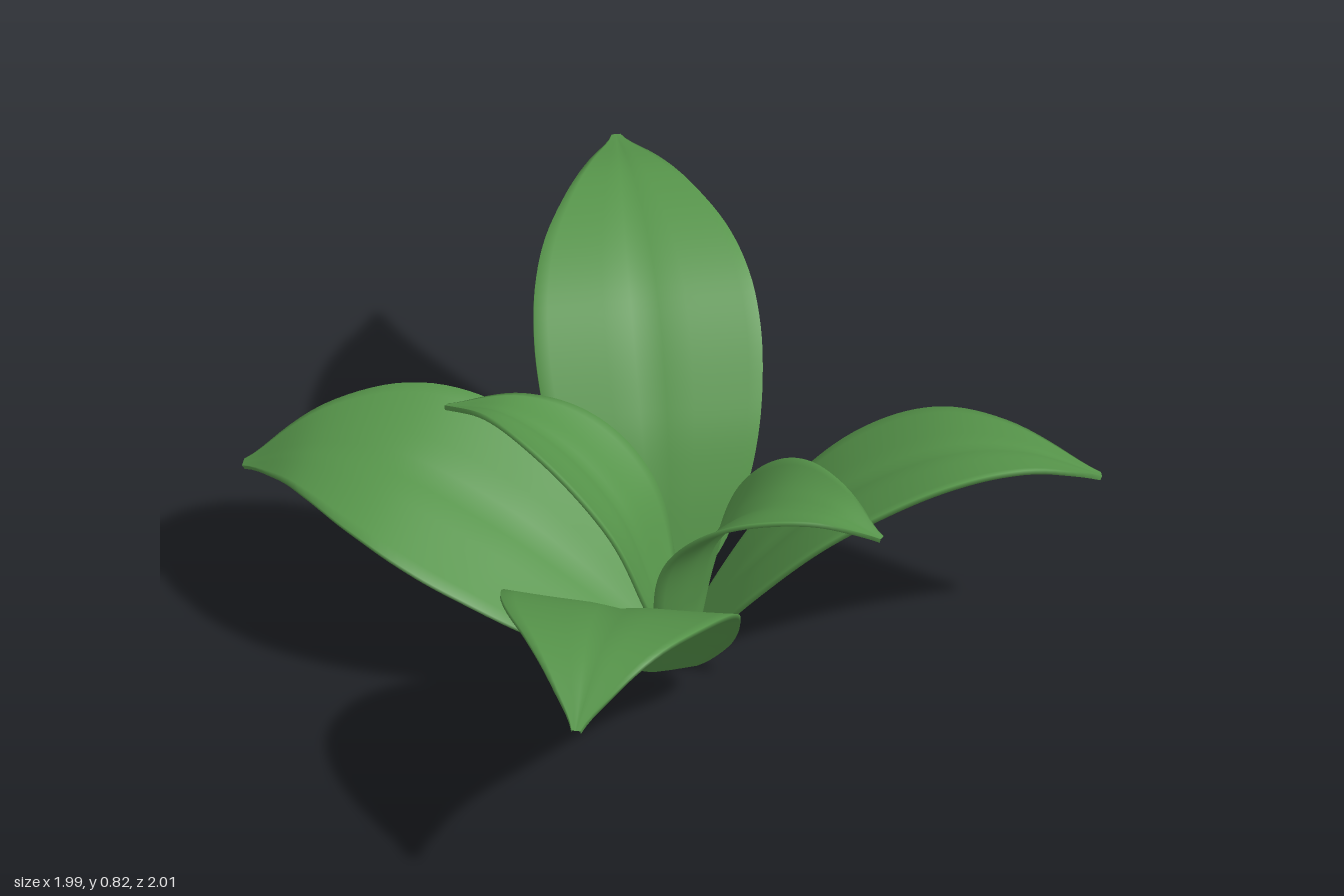
import * as THREE from 'three';

const leafGreen = new THREE.MeshStandardMaterial({ color: 0x56944a });
leafGreen.name = 'leafGreen';

// Half-width of a leaf at even steps from base to tip
const outline = new THREE.SplineCurve(
  [0.28, 0.57, 0.78, 0.91, 0.98, 1, 0.95, 0.81, 0.57, 0.29, 0.04].map((w, i) => new THREE.Vector2(i / 10, w)));

// Thin closed blade swept along an arching midrib.
// base and tip are [x, z]; arch lists [fraction of reach, height]; bend bows the midrib sideways.
function makeLeaf({ name, base, tip, arch, half, roll = 0, cup = 0, bend = 0 }) {
  const ROWS = 48, COLS = 16, THICK = 0.006;
  const dx = tip[0] - base[0], dz = tip[1] - base[1];
  const midrib = new THREE.CatmullRomCurve3(
    arch.map(([f, y]) => new THREE.Vector3(base[0] + dx * f, y, base[1] + dz * f)), false, 'centripetal');
  const flatSide = new THREE.Vector3(dz, 0, -dx).normalize();
  const positions = [], index = [];
  const ring = 2 * (COLS + 1);

  for (let i = 0; i <= ROWS; i++) {
    const t = i / ROWS;
    const along = midrib.getTangentAt(t);
    const centre = midrib.getPointAt(t).addScaledVector(flatSide, bend * Math.sin(Math.PI * t));
    const side = flatSide.clone().applyAxisAngle(along, roll);
    const up = along.clone().cross(side);
    // the base end is rounded off
    const w = half * outline.getPoint(t).y * Math.sqrt(Math.min(1, 0.03 + t / 0.06));
    for (let j = 0; j < ring; j++) {
      const top = j <= COLS;
      const v = (top ? j : ring - 1 - j) / COLS * 2 - 1;
      // edges cup upward, with a shallow groove along the midrib
      const groove = 0.008 * Math.exp(-Math.pow(v / 0.14, 2)) * Math.sin(Math.PI * t);
      const lift = cup * w * v * v - groove + (top ? THICK : -THICK);
      const p = centre.clone().addScaledVector(side, w * v).addScaledVector(up, lift);
      positions.push(p.x, Math.max(p.y, 0), p.z);
    }
  }
  for (let i = 0; i < ROWS; i++) {
    for (let j = 0; j < ring; j++) {
      const k = (j + 1) % ring;
      const a = i * ring + j, b = a + ring, c = i * ring + k, d = c + ring;
      index.push(a, b, c, b, d, c);
    }
  }
  const geometry = new THREE.BufferGeometry();
  geometry.setAttribute('position', new THREE.Float32BufferAttribute(positions, 3));
  geometry.setIndex(index);
  geometry.computeVertexNormals();
  const mesh = new THREE.Mesh(geometry, leafGreen);
  mesh.name = name;
  return mesh;
}

const leaves = [
  { name: 'backLeaf', base: [-0.03, -0.12], tip: [-0.03, -1], half: 0.27,
    arch: [[0, 0.08], [0.1, 0.33], [0.2, 0.49], [0.43, 0.71], [0.77, 0.815], [1, 0.785]] },
  { name: 'leftLeaf', base: [0, 0], tip: [0.99, 0.08], half: 0.265, roll: -0.19, cup: 0.03, bend: 0.03,
    arch: [[0, 0.02], [0.2, 0.27], [0.4, 0.445], [0.63, 0.55], [0.81, 0.555], [1, 0.485]] },
  { name: 'frontLeaf', base: [-0.09, 0.07], tip: [-0.38, 1], half: 0.28, cup: 0.03,
    arch: [[0, 0.008], [0.15, 0.21], [0.35, 0.44], [0.57, 0.57], [0.78, 0.61], [1, 0.54]] },
  { name: 'rightLeaf', base: [-0.05, 0.04], tip: [-0.99, -0.43], half: 0.285, roll: -0.21, cup: 0.03, bend: 0.045,
    arch: [[0, 0.06], [0.2, 0.24], [0.38, 0.365], [0.62, 0.455], [0.83, 0.435], [1, 0.33]] },
  { name: 'smallLeftLeaf', base: [0.01, 0.04], tip: [0.43, 0.37], half: 0.175, roll: 0.02, cup: 0.2,
    arch: [[0, 0.03], [0.03, 0.2], [0.14, 0.4], [0.4, 0.54], [0.72, 0.59], [1, 0.565]] },
  { name: 'smallRightLeaf', base: [-0.04, -0.01], tip: [-0.52, -0.34], half: 0.165, roll: 0.22, cup: 0.18,
    arch: [[0, 0.04], [0.07, 0.2], [0.2, 0.37], [0.45, 0.5], [0.74, 0.555], [1, 0.52]] },
];

export function createModel() {
  const plant = new THREE.Group();
  plant.name = 'leafRosette';
  for (const leaf of leaves) plant.add(makeLeaf(leaf));
  return plant;
}
